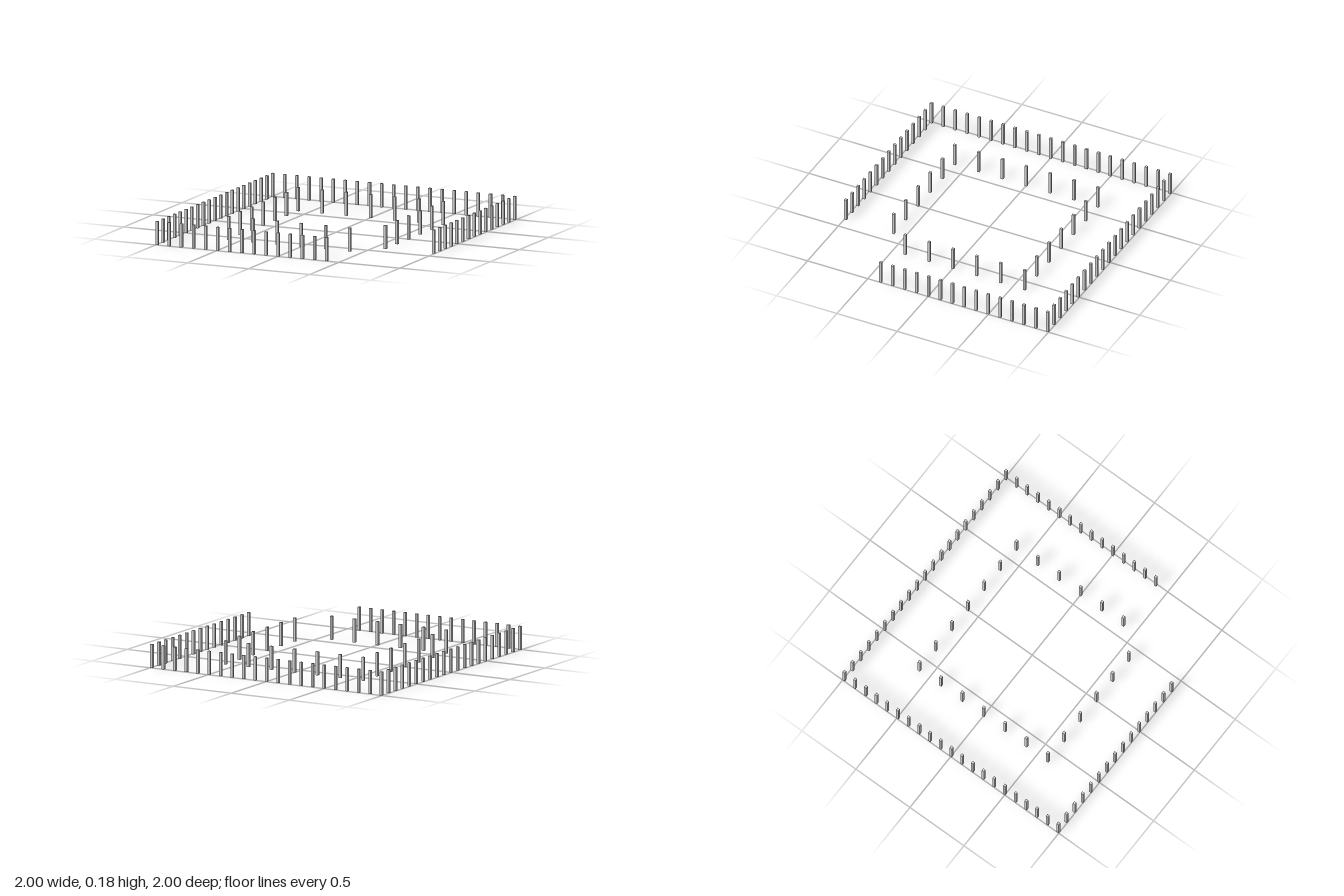
import * as THREE from 'three';

const W = 2 / 101;      // post thickness
const H = W * 9;        // post height
const STEP = W * 5;     // base grid spacing

const material = new THREE.MeshStandardMaterial({ color: 0xcccccc, flatShading: true });
const postGeometry = new THREE.BoxGeometry(W, H, W).translate(0, H / 2, 0);

// Square ring of posts with an opening at the front left corner.
// half: half side in grid steps, stride: steps between posts, gapStart: last post before the opening
function postRing(name, half, stride, gapStart) {
  const ring = new THREE.Group();
  ring.name = name;
  const addPost = (side, i, k) => {
    const post = new THREE.Mesh(postGeometry, material);
    post.name = side + 'Post';
    post.position.set(i * STEP, 0, k * STEP);
    ring.add(post);
  };
  for (let i = -half; i <= half; i += stride) {
    addPost('back', i, -half);
    if (i > -half) addPost('right', -half, i);
    if (i > -half && i <= gapStart) {
      addPost('front', i, half);
      addPost('left', half, i);
    }
  }
  return ring;
}

export function createModel() {
  const model = new THREE.Group();
  model.name = 'postEnclosure';
  model.add(postRing('outerRing', 10, 1, 4), postRing('innerRing', 6, 2, 4));
  return model;
}
